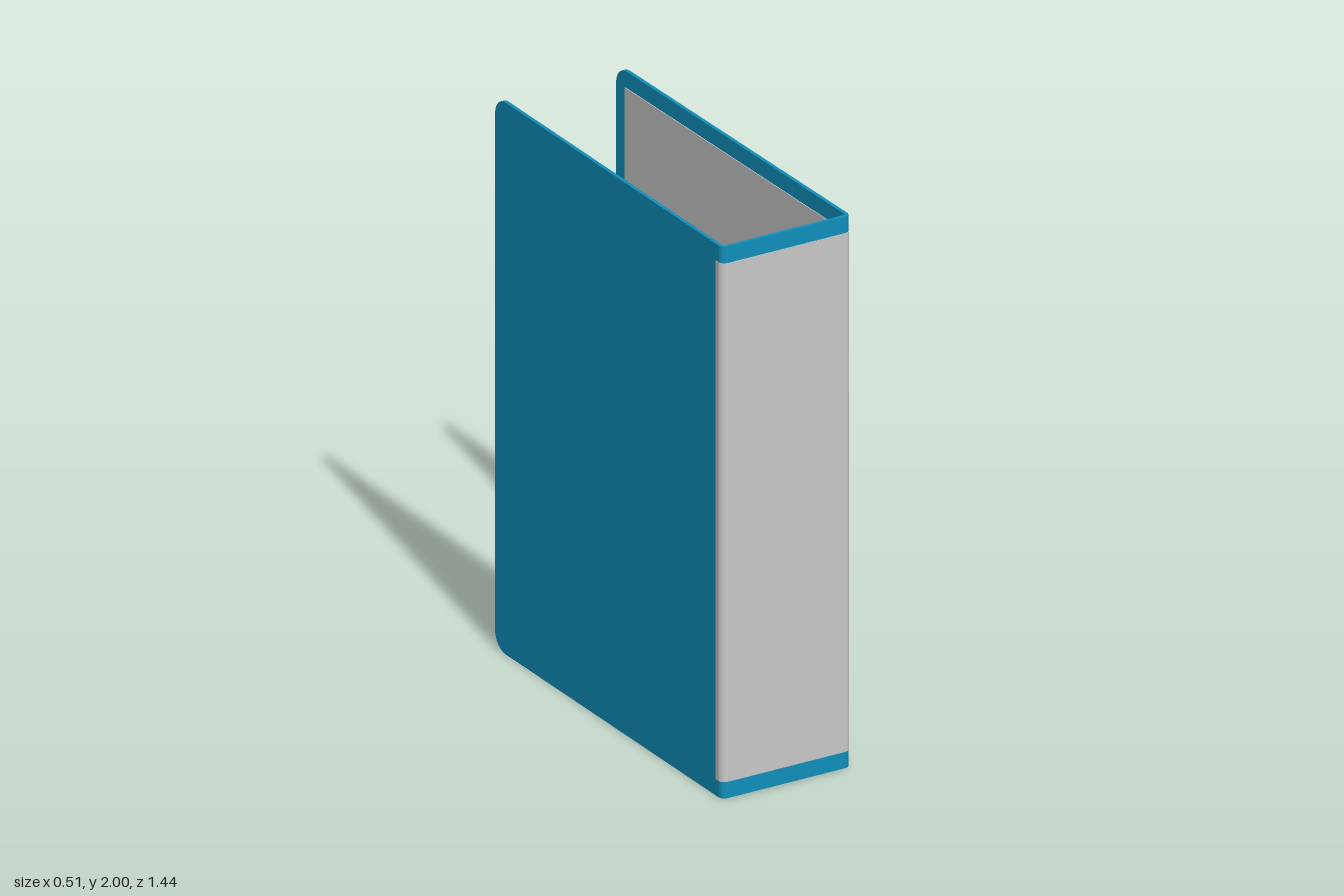
import * as THREE from 'three';

const BACK = -0.718, FRONT = 0.718, HEIGHT = 2, THICK = 0.013;

const blue = new THREE.MeshStandardMaterial({ color: 0x1090bc });
blue.name = 'blue cover';
const grey = new THREE.MeshStandardMaterial({ color: 0xc9c9c9 });
grey.name = 'light grey paper';
const metal = new THREE.MeshStandardMaterial({ color: 0xd0d0d0 });
metal.name = 'steel';

// Half width of the binder at depth z: the covers lean slightly inwards to the back
const halfWidth = (z) => 0.242 + 0.006 * (z - BACK);

function add(group, name, geometry, material) {
  const mesh = new THREE.Mesh(geometry, material);
  mesh.name = name;
  group.add(mesh);
  return mesh;
}

// Extrudes a plan outline of [x, z] points upwards from y0 to y1
function extrudeUp(points, y0, y1) {
  const shape = new THREE.Shape(points.map(([x, z]) => new THREE.Vector2(x, -z)));
  const g = new THREE.ExtrudeGeometry(shape, { depth: y1 - y0, bevelEnabled: false });
  return g.rotateX(-Math.PI / 2).translate(0, y0, 0);
}

// U-shaped plan line round the spine, moved inwards by inset
function uLine(inset, zBack) {
  const r = 0.022 - inset, zFront = FRONT - inset;
  const cx = halfWidth(FRONT) - inset - r;
  const half = [[halfWidth(zBack) - inset, zBack]];
  for (let i = 0; i <= 6; i++) {
    const a = (i / 6) * Math.PI / 2;
    half.push([cx + r * Math.cos(a), zFront - r + r * Math.sin(a)]);
  }
  return [...half, ...half.map(([x, z]) => [-x, z]).reverse()];
}

function uShell(inset, thick, zBack, y0, y1) {
  return extrudeUp([...uLine(inset, zBack), ...uLine(inset + thick, zBack).reverse()], y0, y1);
}

// Cover board with rounded rear corners, leaning with halfWidth
function coverBoard(side, zFront) {
  const r = 0.065;
  const s = new THREE.Shape();
  s.moveTo(zFront, 0);
  s.lineTo(zFront, HEIGHT);
  s.lineTo(BACK + r, HEIGHT);
  s.absarc(BACK + r, HEIGHT - r, r, Math.PI / 2, Math.PI, false);
  s.lineTo(BACK, r);
  s.absarc(BACK + r, r, r, Math.PI, Math.PI * 1.5, false);
  const g = new THREE.ExtrudeGeometry(s, { depth: THICK, bevelEnabled: false, curveSegments: 10 });
  g.rotateY(-Math.PI / 2).translate(THICK / 2, 0, 0); // shape x becomes z
  const p = g.attributes.position;
  for (let i = 0; i < p.count; i++) {
    const z = p.getZ(i);
    p.setX(i, p.getX(i) + side * (halfWidth(z) - THICK / 2));
  }
  g.computeVertexNormals();
  return g;
}

// Bent sheet-metal hook standing along one side of the spine
function hook(side) {
  const line = (o) => {
    const pts = [[0.234 - o, 0.695]];
    for (let i = 0; i <= 10; i++) {
      const a = (i / 10) * Math.PI;
      pts.push([0.212 + (0.022 - o) * Math.cos(a), 0.548 - (0.022 - o) * Math.sin(a)]);
    }
    pts.push([0.19 + o, 0.675]);
    return pts;
  };
  const pts = [...line(0), ...line(0.005).reverse()].map(([x, z]) => [side * x, z]);
  return extrudeUp(pts, 0.6, 1.4);
}

export function createModel() {
  const binder = new THREE.Group();
  binder.name = 'binder';

  // Outer boards
  add(binder, 'spineBoard', uShell(0, THICK, 0.64, 0, HEIGHT), blue);
  for (const side of [1, -1]) {
    add(binder, side > 0 ? 'leftCover' : 'rightCover', coverBoard(side, 0.64), blue);
  }

  // Spine label wrapping round both edges, and the inner lining
  add(binder, 'spineLabel', uShell(-0.002, 0.003, 0.68, 0.06, 1.94), grey);
  add(binder, 'innerLining', uShell(THICK - 0.001, 0.004, -0.66, 0.06, 1.94), grey);

  // Filing mechanism inside the spine
  const mechanism = new THREE.Group();
  mechanism.name = 'filingMechanism';
  binder.add(mechanism);
  add(mechanism, 'basePlate', new THREE.BoxGeometry(0.46, 0.8, 0.006), metal).position.set(0, 1, 0.697);
  add(mechanism, 'raisedPlate', new THREE.BoxGeometry(0.22, 0.8, 0.008), metal).position.set(0, 1, 0.69);
  for (const side of [1, -1]) {
    add(mechanism, 'sideHook', hook(side), metal);
    const lip = add(mechanism, 'plateLip', new THREE.BoxGeometry(0.06, 0.8, 0.005), metal);
    lip.position.set(side * 0.19, 1, 0.686);
    lip.rotation.y = side * 0.2;
  }
  for (const y of [0.75, 1.25]) {
    const rod = add(mechanism, 'crossRod', new THREE.CylinderGeometry(0.016, 0.016, 0.4, 20), metal);
    rod.rotation.z = Math.PI / 2;
    rod.position.set(0, y, 0.596);
    for (const side of [1, -1]) {
      const washer = add(mechanism, 'rodWasher', new THREE.CylinderGeometry(0.026, 0.026, 0.008, 20), metal);
      washer.rotation.z = Math.PI / 2;
      washer.position.set(side * 0.187, y, 0.596);
    }
  }
  return binder;
}
